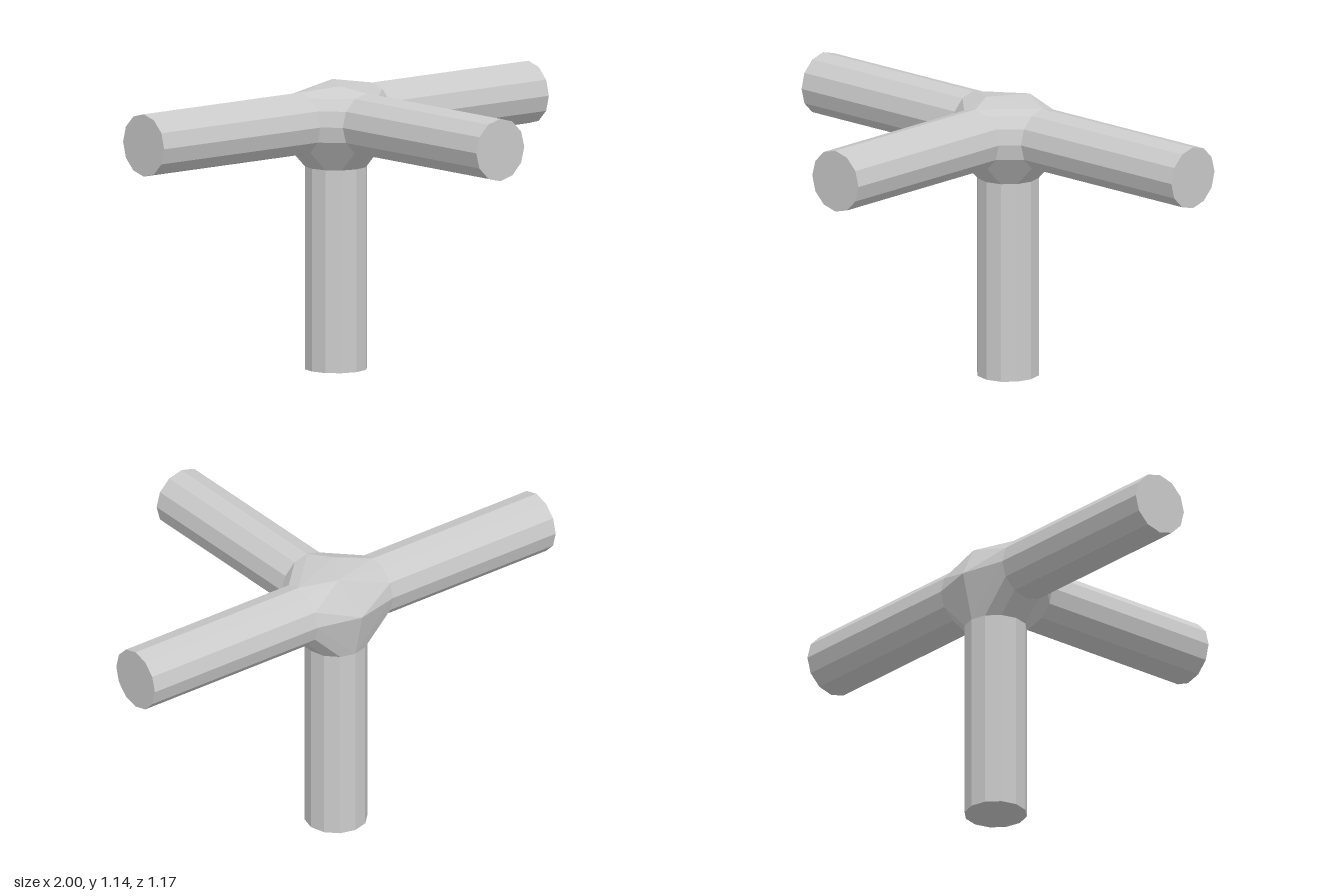
import * as THREE from 'three';
import { ConvexGeometry } from 'three/addons/geometries/ConvexGeometry.js';

const RADIUS = 0.125, SIDES = 12, START = 0.1875, END = 1, BALL = 0.17;

export function createModel() {
  const model = new THREE.Group();
  const material = new THREE.MeshStandardMaterial({ color: 0xcccccc, flatShading: true });
  const hubPoints = [];

  // Four equal struts radiating from the joint
  const struts = {
    leftStrut: [1, 0, 0],
    rightStrut: [-1, 0, 0],
    frontStrut: [0, 0, 1],
    lowerStrut: [0, -1, 0],
  };
  const up = new THREE.Vector3(0, 1, 0);
  for (const [name, dir] of Object.entries(struts)) {
    const axis = new THREE.Vector3(...dir);
    const turn = new THREE.Quaternion().setFromUnitVectors(up, axis);
    const strut = new THREE.Mesh(new THREE.CylinderGeometry(RADIUS, RADIUS, END - START, SIDES), material);
    strut.name = name;
    strut.quaternion.copy(turn);
    strut.position.copy(axis).multiplyScalar((START + END) / 2);
    model.add(strut);

    // The hub meets each strut at its inner ring
    for (let i = 0; i < SIDES; i++) {
      const a = (i / SIDES) * Math.PI * 2;
      hubPoints.push(new THREE.Vector3(RADIUS * Math.sin(a), START, RADIUS * Math.cos(a)).applyQuaternion(turn));
    }
  }

  // Icosahedral core of the hub, poles along z
  for (const s of [-1, 1]) {
    hubPoints.push(new THREE.Vector3(0, 0, s * BALL));
    for (let i = 0; i < 5; i++) {
      const a = (i / 5) * Math.PI * 2;
      hubPoints.push(new THREE.Vector3(-s * Math.cos(a) * 0.8944, Math.sin(a) * 0.8944, s * 0.4472).multiplyScalar(BALL));
    }
  }

  // Faceted hub wrapped around the core and the strut rings
  const hub = new THREE.Mesh(new ConvexGeometry(hubPoints), material);
  hub.name = 'hub';
  model.add(hub);

  model.position.set(0, END, -(END - BALL) / 2);
  const root = new THREE.Group();
  root.name = 'strutConnector';
  root.add(model);
  return root;
}
